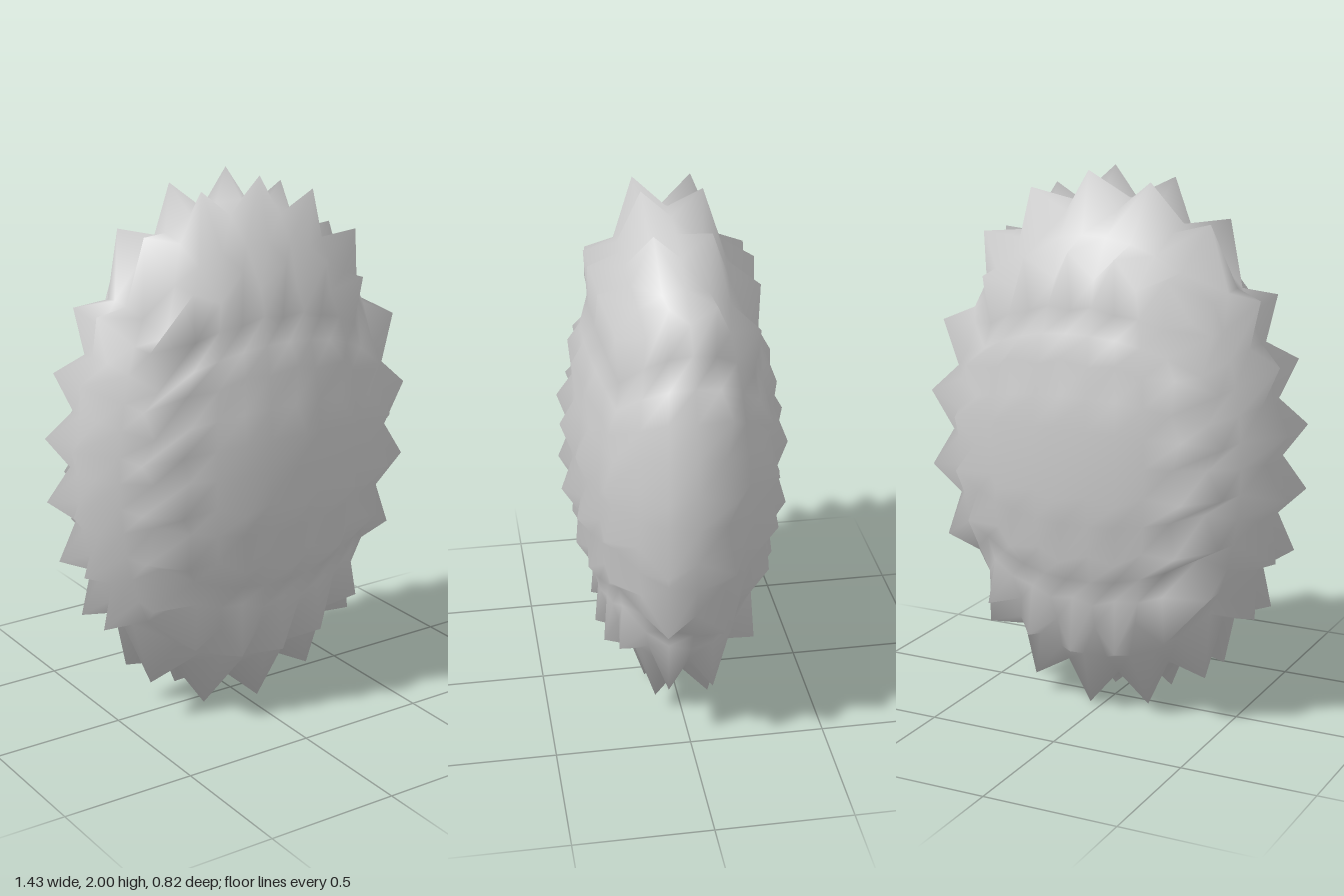
import * as THREE from 'three';
import { mergeVertices } from 'three/addons/utils/BufferGeometryUtils.js';

const SEGMENTS = [9, 12, 6];            // grid cells along x, y, z
const RADII = [0.65, 0.902, 0.362];     // ellipsoid between the spikes
const SPIKE = 1.15;                     // spike height relative to the surface

// Angle of each grid line from the centre plane, in degrees; the x lines lean to the right side
const lineAngle = [
  (i) => (i === 0 ? -48 : 9.6 * (i - 4.5) - 1.2),
  (i) => 7.5 * (i - 6),
  (i) => 15 * (i - 3),
];

// Spiky flattened ellipsoid: a box grid rounded to a sphere, alternate grid points pulled out
function spikyShell() {
  let geometry = new THREE.BoxGeometry(2, 2, 2, ...SEGMENTS);
  geometry.deleteAttribute('uv');
  geometry.deleteAttribute('normal');
  geometry = mergeVertices(geometry, 1e-4);

  const position = geometry.attributes.position;
  const v = new THREE.Vector3();
  for (let i = 0; i < position.count; i++) {
    const p = v.fromBufferAttribute(position, i).toArray();
    const index = p.map((c, a) => Math.round((c + 1) / 2 * SEGMENTS[a]));
    const high = [index[0] % 2 === 1, index[1] % 2 === 1, index[2] % 2 === 0];
    const onFace = p.map((c) => Math.abs(c) > 0.999);

    // A point is a spike when both grid lines of one of its faces are high
    const spikeOn = [0, 1, 2].map((a) => onFace[a] && high[(a + 1) % 3] && high[(a + 2) % 3]);
    // The left side has no spikes right beside its top and bottom edges
    if (index[0] === SEGMENTS[0] && Math.abs(index[1] - 6) === 5) spikeOn.fill(false);

    // Even angles between the grid lines, then out to the ellipsoid
    v.fromArray(index.map((n, a) => Math.tan(THREE.MathUtils.degToRad(lineAngle[a](n))))).normalize();

    // Front and back spikes flatten towards the top and bottom
    let height = 1;
    if (spikeOn[0] || spikeOn[1]) height = SPIKE;
    if (spikeOn[2]) height = Math.max(height - 0.05, SPIKE - 0.5 * v.y * v.y);
    v.multiplyScalar(height);
    position.setXYZ(i, v.x * RADII[0], v.y * RADII[1], v.z * RADII[2]);
  }

  geometry.center();
  geometry.translate(0, 1, 0);
  geometry.computeVertexNormals();
  return geometry;
}

export function createModel() {
  const group = new THREE.Group();
  group.name = 'spikyOval';
  const shell = new THREE.Mesh(
    spikyShell(),
    new THREE.MeshStandardMaterial({ color: 0xcccccc })
  );
  shell.name = 'spikyShell';
  group.add(shell);
  return group;
}
